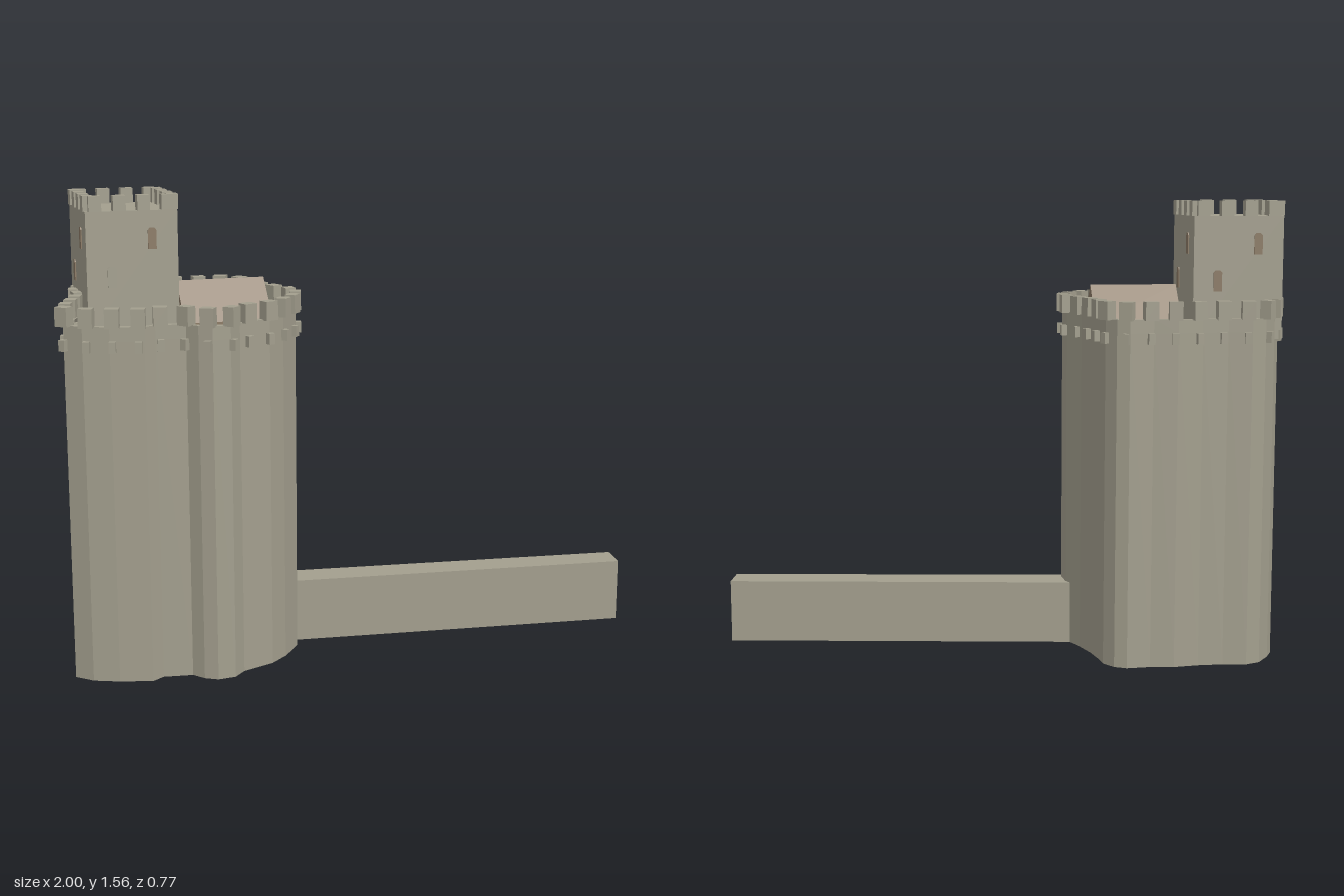
import * as THREE from 'three';

const stone = new THREE.MeshStandardMaterial({ color: 0xa39f8e });
stone.name = 'stone';
const brown = new THREE.MeshStandardMaterial({ color: 0x8b7a65 });
brown.name = 'roof brown';

// Irregular footprint of the keep as x, z pairs
const OUTLINE = [
  [-0.98, 0.2], [-0.93, 0.25], [-0.85, 0.285], [-0.745, 0.315], [-0.705, 0.29], [-0.61, 0.305],
  [-0.58, 0.345], [-0.54, 0.37], [-0.48, 0.365], [-0.44, 0.325], [-0.33, 0.285], [-0.27, 0.235],
  [-0.2, 0.15], [-0.18, 0.08], [-0.185, 0.01], [-0.225, -0.08], [-0.25, -0.16], [-0.265, -0.24],
  [-0.27, -0.29], [-0.3, -0.335], [-0.34, -0.355], [-0.42, -0.35], [-0.5, -0.36], [-0.585, -0.35],
  [-0.67, -0.35], [-0.75, -0.36], [-0.8, -0.34], [-0.845, -0.28], [-0.87, -0.23], [-0.885, -0.16],
  [-0.88, -0.1], [-0.9, -0.03], [-0.93, 0.05], [-0.96, 0.13],
];
const CX = -0.58;

// Footprint scaled about its middle
function footprint(s) {
  const pts = OUTLINE.map(([x, z]) => new THREE.Vector2(CX + (x - CX) * s, z * s));
  pts.push(pts[0].clone());
  return pts;
}

// Upright prism from an x, z shape between two heights
function prism(shape, y0, y1) {
  const g = new THREE.ExtrudeGeometry(shape, { depth: y1 - y0, bevelEnabled: false });
  return g.rotateX(Math.PI / 2).translate(0, y1, 0);
}

function ring(outer, inner, y0, y1) {
  const shape = new THREE.Shape(footprint(outer));
  shape.holes.push(new THREE.Path(footprint(inner)));
  return prism(shape, y0, y1);
}

export function createModel() {
  const root = new THREE.Group();
  root.name = 'castle';
  const add = (parent, name, geometry, material = stone) => {
    const m = new THREE.Mesh(geometry, material);
    m.name = name;
    parent.add(m);
    return m;
  };

  // Main keep with a stepped parapet around a sunken roof deck
  add(root, 'keepWall', prism(new THREE.Shape(footprint(1)), 0, 1.13));
  add(root, 'parapet', ring(1, 0.93, 1.13, 1.175));
  add(root, 'wallWalk', ring(0.93, 0.88, 1.13, 1.15));

  // Merlons on the wall line, each with a small corbel below
  const battlements = new THREE.Group();
  battlements.name = 'battlements';
  root.add(battlements);
  const path = new THREE.Path(footprint(1));
  const merlonGeo = new THREE.BoxGeometry(0.045, 0.062, 0.038);
  const corbelGeo = new THREE.BoxGeometry(0.022, 0.036, 0.03);
  const count = 31;
  for (let i = 0; i < count; i++) {
    const p = path.getPoint((i + 0.05) / count);
    const t = path.getTangent((i + 0.05) / count);
    const turn = Math.atan2(-t.y, t.x);
    const merlon = add(battlements, 'merlon', merlonGeo);
    merlon.position.set(p.x, 1.203, p.y);
    merlon.rotation.y = turn;
    const corbel = add(battlements, 'corbel', corbelGeo);
    corbel.position.set(p.x - t.y * 0.004, 1.112, p.y + t.x * 0.004);
    corbel.rotation.y = turn;
  }

  // Square tower: four equal sides, each with merlons and two narrow windows
  const tower = new THREE.Group();
  tower.name = 'tower';
  tower.position.set(-0.7175, 0, -0.127);
  root.add(tower);
  const half = 0.152;
  add(tower, 'towerWall', new THREE.BoxGeometry(half * 2, 0.41, half * 2)).position.y = 1.305;
  const toothGeo = new THREE.BoxGeometry(0.042, 0.05, 0.035);
  const w = 0.014, h = 0.035;
  const windowShape = new THREE.Shape([
    [-w, -h], [w, -h], [w, h - 0.008], [w - 0.007, h], [-w + 0.007, h], [-w, h - 0.008],
  ].map(([x, y]) => new THREE.Vector2(x, y)));
  const windowGeo = new THREE.ExtrudeGeometry(windowShape, { depth: 0.005, bevelEnabled: false });
  for (let s = 0; s < 4; s++) {
    const side = new THREE.Group();
    side.name = 'towerSide';
    side.rotation.y = s * Math.PI / 2;
    tower.add(side);
    for (const x of [-0.12, -0.04, 0.04, 0.12]) {
      add(side, 'towerMerlon', toothGeo).position.set(x, 1.535, 0.14);
    }
    add(side, 'upperWindow', windowGeo, brown).position.set(0.066, 1.418, half - 0.001);
    add(side, 'lowerWindow', windowGeo, s === 0 ? stone : brown).position.set(-0.07, 1.296, half - 0.001);
  }

  // Gabled roof on the deck beside the tower
  const gable = new THREE.Shape([
    new THREE.Vector2(-0.1125, 1.125), new THREE.Vector2(0.1125, 1.125),
    new THREE.Vector2(0.1125, 1.142), new THREE.Vector2(0, 1.27), new THREE.Vector2(-0.1125, 1.142),
  ]);
  const roof = new THREE.ExtrudeGeometry(gable, { depth: 0.3, bevelEnabled: false });
  roof.rotateY(Math.PI / 2).translate(-0.565, 0, -0.013);
  add(root, 'gableRoof', roof, brown);

  // Long low wall running off from the keep
  const run = [[-0.24, -0.022], [0.997, 0.15], [0.98, 0.257], [-0.24, 0.094]];
  add(root, 'lowWall', prism(new THREE.Shape(run.map(([x, z]) => new THREE.Vector2(x, z))), 0, 0.217));

  return root;
}
